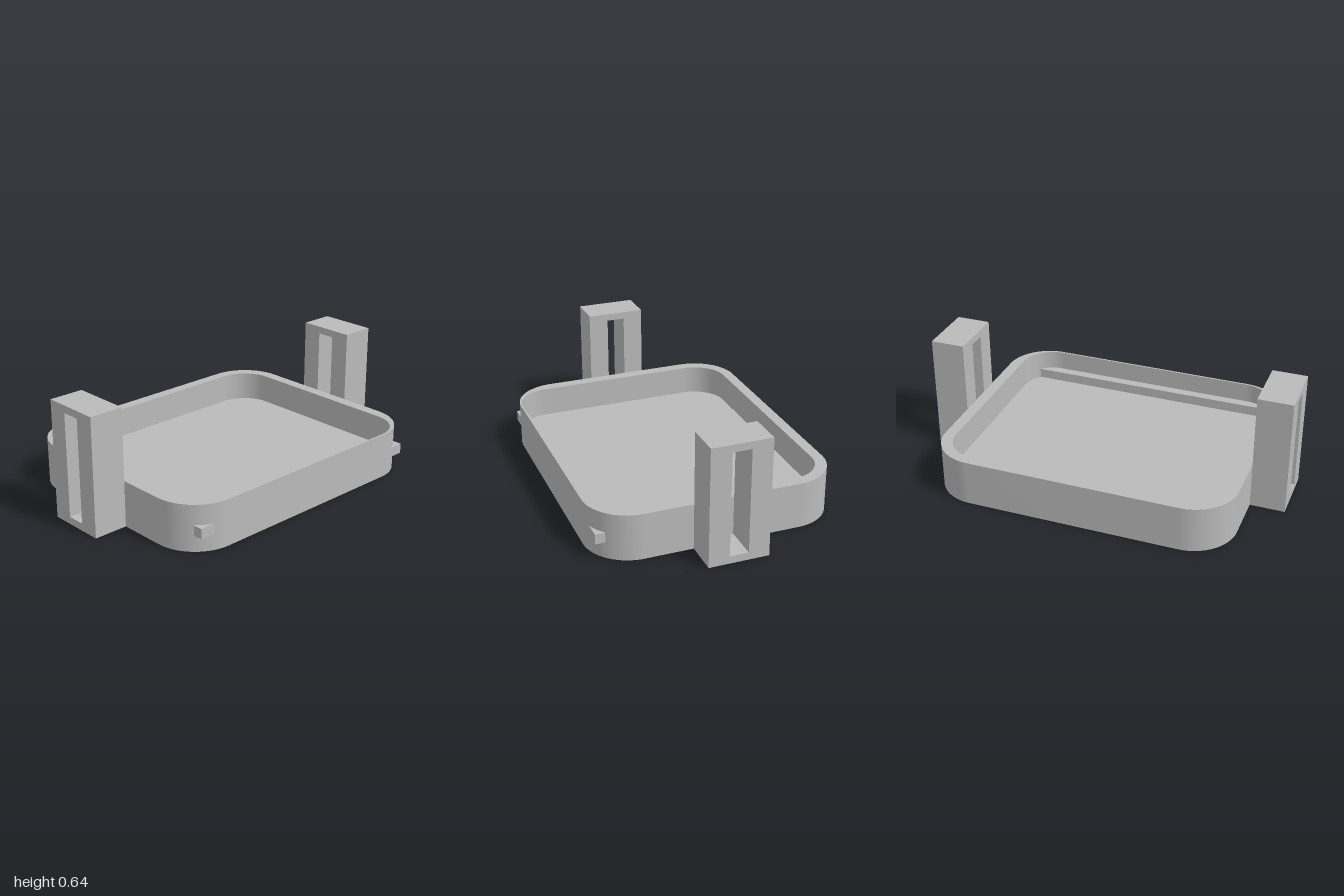
import * as THREE from 'three';
import { toCreasedNormals } from 'three/addons/utils/BufferGeometryUtils.js';

// Rounded rectangle in plan; shape y runs towards the back (-z)
function roundedRect(Type, halfW, front, back, r) {
  const s = new Type();
  s.absarc(halfW - r, back - r, r, 0, Math.PI / 2);
  s.absarc(-halfW + r, back - r, r, Math.PI / 2, Math.PI);
  s.absarc(-halfW + r, front + r, r, Math.PI, Math.PI * 1.5);
  s.absarc(halfW - r, front + r, r, Math.PI * 1.5, Math.PI * 2);
  s.closePath();
  return s;
}

function extrude(shape, depth) {
  const g = new THREE.ExtrudeGeometry(shape, { depth, bevelEnabled: false, curveSegments: 20 });
  return toCreasedNormals(g, 0.5);
}

export function createModel() {
  const group = new THREE.Group();
  const grey = new THREE.MeshStandardMaterial({ color: 0xbababb });
  grey.name = 'plain grey';

  const add = (name, geometry) => {
    const mesh = new THREE.Mesh(geometry, grey);
    mesh.name = name;
    group.add(mesh);
    return mesh;
  };
  const slab = (name, shape, y0, y1) => {
    const g = extrude(shape, y1 - y0);
    g.rotateX(-Math.PI / 2);
    g.translate(0, y0, 0);
    return add(name, g);
  };

  // Tray wall: thick at the sides and back, thin at the front
  const wall = roundedRect(THREE.Shape, 0.813, -0.655, 0.655, 0.24);
  wall.holes.push(roundedRect(THREE.Path, 0.75, -0.645, 0.595, 0.18));
  slab('trayWall', wall, 0, 0.25);

  // Floor, with two blind round sockets underneath at the back corners
  const inner = () => roundedRect(THREE.Shape, 0.75, -0.645, 0.595, 0.18);
  const under = inner();
  for (const side of [-1, 1]) {
    const hole = new THREE.Path();
    hole.absarc(side * 0.58, 0.43, 0.08, 0, Math.PI * 2);
    under.holes.push(hole);
  }
  slab('floorUnderside', under, 0, 0.055);
  slab('floorTop', inner(), 0.055, 0.088);

  // Cross bar along the front, its ends poking out through the corners
  const bar = new THREE.BoxGeometry(1.48, 0.055, 0.052);
  bar.translate(0, 0.1155, 0.616);
  add('frontBar', bar);

  // Slotted side posts, mirrored
  const post = new THREE.Shape();
  post.moveTo(-0.16, 0).lineTo(0.16, 0).lineTo(0.16, 0.64).lineTo(-0.16, 0.64).closePath();
  const slot = new THREE.Path();
  slot.moveTo(-0.05, 0.04).lineTo(-0.05, 0.6).lineTo(0.05, 0.6).lineTo(0.05, 0.04).closePath();
  post.holes.push(slot);
  for (const side of [-1, 1]) {
    const g = extrude(post, 0.187);
    g.translate(0, 0, 0.813);
    g.rotateY(side * Math.PI / 2);
    add(side > 0 ? 'leftPost' : 'rightPost', g);
  }

  return group;
}
